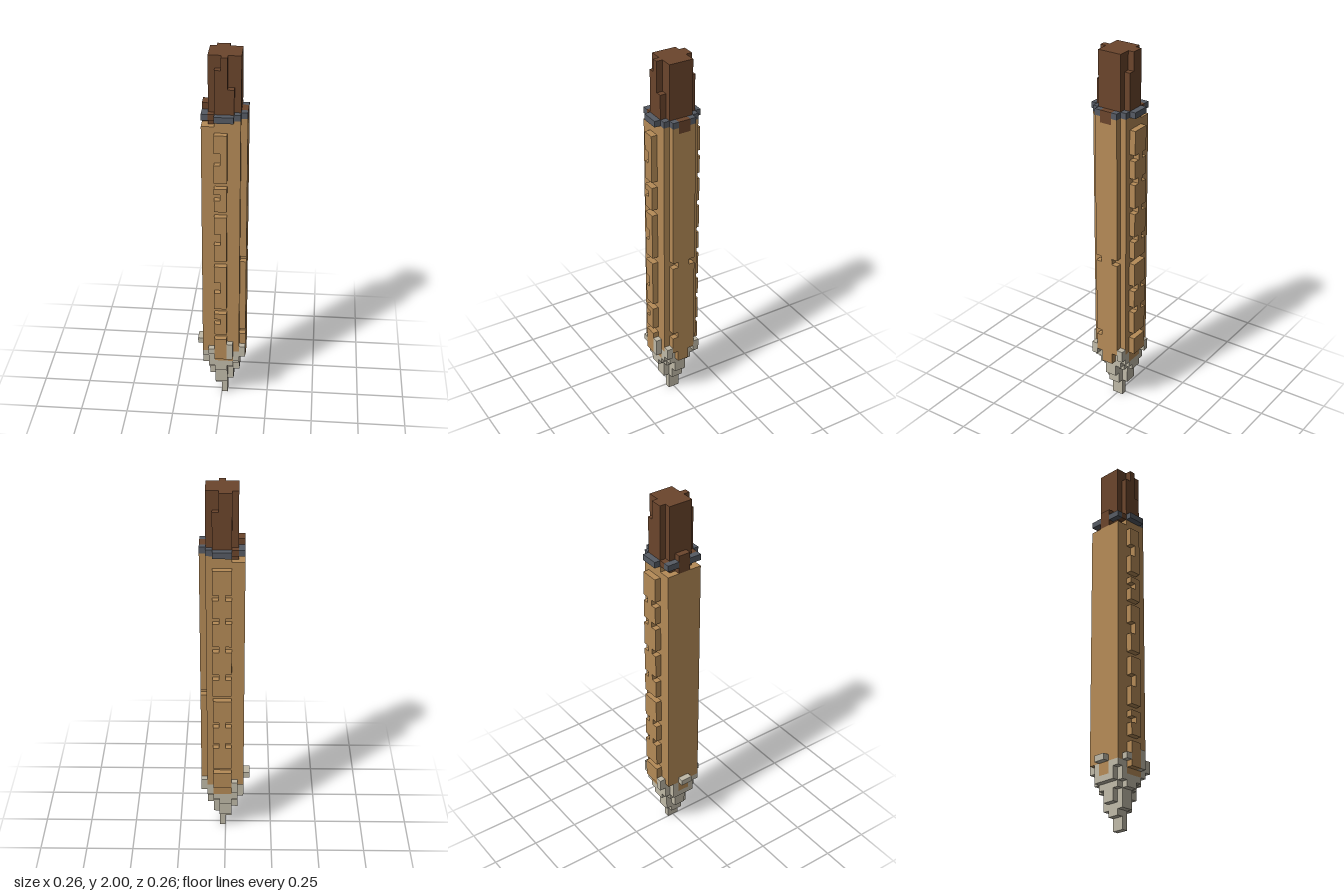
import * as THREE from 'three';
import { mergeGeometries } from 'three/addons/utils/BufferGeometryUtils.js';

const V = 2 / 62; // size of one block

const mat = (name, color) => {
  const m = new THREE.MeshStandardMaterial({ color });
  m.name = name;
  return m;
};

// One block-built part; each entry is x0, x1, y0, y1, z0, z1 in blocks.
function part(name, material, boxes) {
  const geos = boxes.map(([x0, x1, y0, y1, z0, z1]) =>
    new THREE.BoxGeometry((x1 - x0) * V, (y1 - y0) * V, (z1 - z0) * V)
      .translate((x0 + x1) / 2 * V, (y0 + y1) / 2 * V, (z0 + z1) / 2 * V));
  const mesh = new THREE.Mesh(mergeGeometries(geos), material);
  mesh.name = name;
  return mesh;
}

// Adds the front-to-back mirror of every box.
const mirrorZ = (boxes) => boxes.flatMap((b) => [b, [b[0], b[1], b[2], b[3], -b[5], -b[4]]]);

export function createModel() {
  const wood = mat('light wood', 0xb58b57);
  const dark = mat('dark wood', 0x6b452c);
  const iron = mat('iron grey', 0x565b64);
  const stone = mat('pale stone', 0xc0baa8);
  const group = new THREE.Group();
  group.name = 'stake';

  // Square shaft with a notched top and a lower end that bites into the tip
  group.add(part('shaft', wood, [
    [-3, 3, 10, 51, -3, 3],
    [-1, 3, 51, 52, -3, 3],
    [-1, 2, 8, 10, -3, 3],
    [-3, 3, 8, 10, -1, 1],
  ]));

  // Raised rib on the left side
  const rib = [[3, 4, 8, 51, -1, 1]];
  for (const [y0, y1] of [[10, 13], [14, 27], [28, 52]]) rib.push(...mirrorZ([[3, 4, y0, y1, 1, 2]]));
  rib.push([3, 4, 13, 14, -2, -1]);
  group.add(part('sideRib', wood, rib));

  // Front panels: a solid half and a half with a notch
  const front = [];
  for (const [y0, y1, n0, n1] of [[9, 13], [14, 18, 16, 17], [19, 27, 22, 24], [28, 36, 31, 33], [37, 41, 39, 40], [42, 50, 45, 47]]) {
    front.push([0, 1, y0, y1, 3, 4]);
    if (n0) front.push([-1, 0, y0, n0, 3, 4], [-1, 0, n1, y1, 3, 4]);
    else front.push([-1, 0, y0, y1, 3, 4]);
  }
  group.add(part('frontPanels', wood, front));

  // Back panels: a continuous core with notched edges
  const back = [[0, 1, 10, 13, -4, -3], [0, 1, 14, 27, -4, -3], [0, 1, 28, 50, -4, -3]];
  const cuts = [9, 13, 18, 22, 27, 31, 36, 41, 45, 50];
  for (let i = 0; i < cuts.length - 1; i++) {
    for (const x of [-1, 1]) back.push([x, x + 1, cuts[i] + 1, cuts[i + 1], -4, -3]);
  }
  group.add(part('backPanels', wood, back));

  // Handle rising from the shaft, with uneven splintered edges
  group.add(part('handle', dark, [
    [-2, 3, 51, 62, -2, 2],
    [-2, -1, 52, 53, -3, 3],
    [-1, 0, 52, 60, 2, 3],
    [0, 1, 52, 62, 2, 3],
    [1, 2, 52, 57, 2, 3],
    [-1, 1, 52, 62, -3, -2],
    [1, 2, 52, 59, -3, -2],
  ]));
  group.add(part('handlePegs', dark, [
    [-3, -2, 51, 54, -1, 1],
    [3, 4, 51, 53, -1, 1],
  ]));

  // Grey collar around the foot of the handle
  group.add(part('collar', iron, mirrorZ([
    [-1, 2, 52, 53, 3, 4],
    [2, 3, 52, 53, 2, 3],
    [-3, -2, 52, 53, 1, 3],
    [3, 4, 52, 53, 1, 2],
  ])));

  // Stepped point
  group.add(part('tip', stone, [
    [0, 1, 0, 3, -1, 1],
    [-1, 1, 2, 4, -1, 1],
    [0, 2, 3, 5, -1, 1],
    [-1, 1, 3, 6, -2, 2],
    [-2, 2, 4, 6, -1, 1],
    [-2, 3, 5, 7, -1, 1],
    [-2, 2, 6, 8, -2, 2],
    [-1, 1, 6, 8, -3, 3],
    [-2, 2, 7, 8, -3, 3],
    [-3, 3, 7, 8, -2, 2],
    ...mirrorZ([[-3, -1, 8, 10, 1, 2], [-2, -1, 8, 10, 2, 3], [2, 3, 8, 10, 1, 3]]),
  ]));

  // Loose splinters where the tip meets the shaft
  group.add(part('tipSplinters', stone, [
    [-4, -3, 10, 11, -1, 1],
    [-3, -2, 9, 10, 2, 3],
    [-2, -1, 10, 11, 3, 4],
    [1, 2, 9, 12, 3, 4],
    [-2, -1, 9, 11, -4, -3],
    [3, 4, 9, 11, 2, 3],
    [3, 4, 9, 11, -3, -2],
  ]));

  return group;
}
